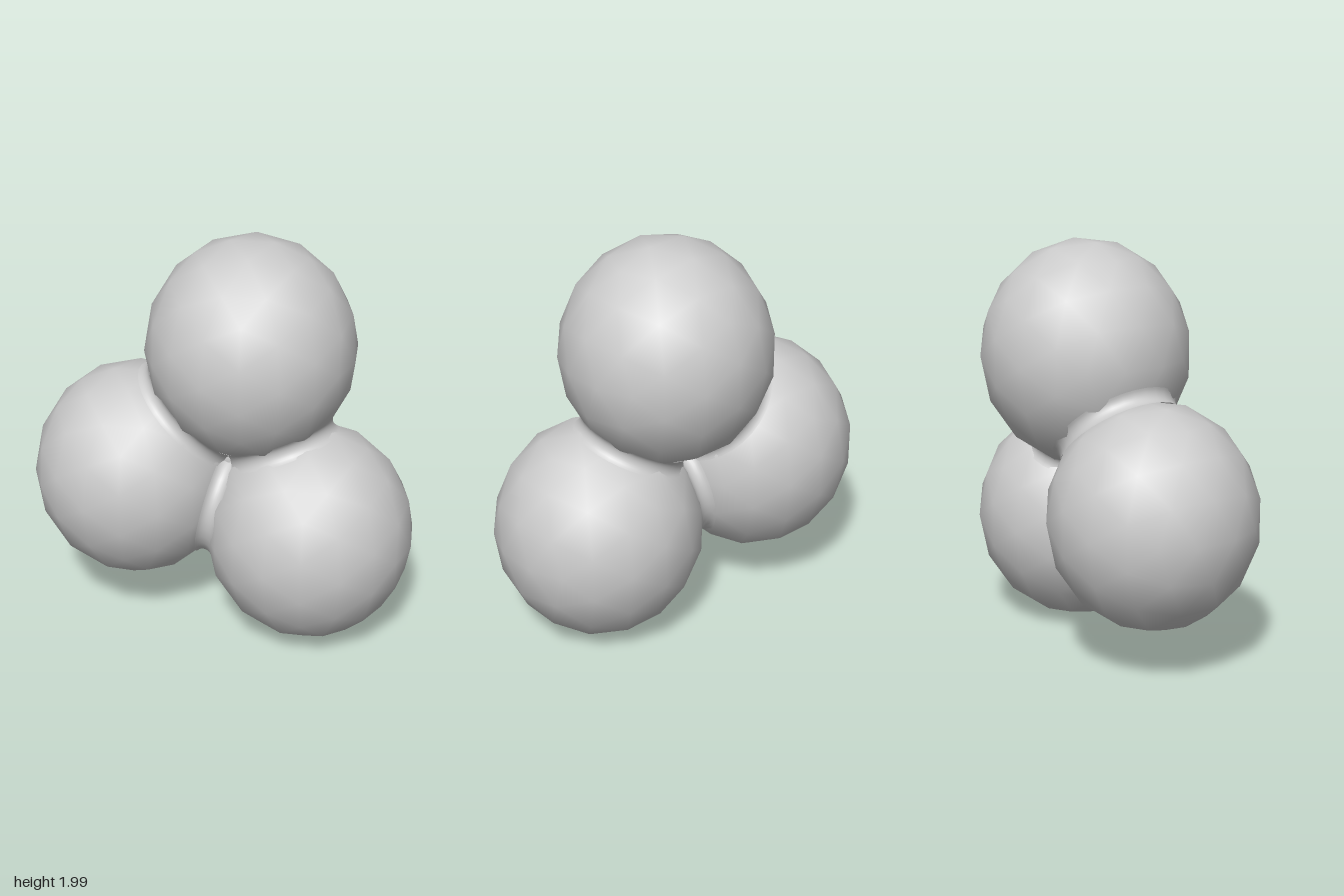
import * as THREE from 'three';

export function createModel() {
  const group = new THREE.Group();
  const material = new THREE.MeshStandardMaterial({ color: 0xcccccc });
  const tall = 1.075; // every lobe is slightly taller than wide

  function addPart(name, geometry, position) {
    const mesh = new THREE.Mesh(geometry.scale(1, tall, 1), material);
    mesh.name = name;
    mesh.position.copy(position);
    group.add(mesh);
  }

  // Three coarse, smooth-shaded egg-like lobes
  const top = new THREE.Vector3(0.125, 1.456, -0.068);
  const right = new THREE.Vector3(-0.445, 0.765, -0.06);
  const left = new THREE.Vector3(0.438, 0.55, 0.08);
  addPart('topLobe', new THREE.IcosahedronGeometry(0.515, 2), top);
  addPart('rightLobe', new THREE.IcosahedronGeometry(0.51, 2), right);
  addPart('leftLobe', new THREE.IcosahedronGeometry(0.515, 2), left);

  // Crease between two lobes: a small fillet arc tangent to both, turned about their axis
  function addNeck(name, a, b) {
    const axis = b.clone().sub(a);
    axis.y /= tall;
    const half = axis.length() / 2;
    const r = 0.505, fillet = 0.05;
    const ring = Math.sqrt((r + fillet) ** 2 - half ** 2);
    const sweep = Math.atan2(half, ring);
    const profile = [];
    for (let i = -5; i <= 5; i++) {
      const angle = (sweep * i) / 5;
      profile.push(new THREE.Vector2(ring - fillet * Math.cos(angle), fillet * Math.sin(angle)));
    }
    const turn = new THREE.Quaternion().setFromUnitVectors(new THREE.Vector3(0, 1, 0), axis.normalize());
    const geometry = new THREE.LatheGeometry(profile, 32).applyQuaternion(turn);
    addPart(name, geometry, a.clone().lerp(b, 0.5));
  }
  addNeck('topRightNeck', top, right);
  addNeck('topLeftNeck', top, left);
  addNeck('lowerNeck', right, left);

  // Small core closing the gap where the three necks meet
  const middle = top.clone().add(right).add(left).divideScalar(3);
  addPart('core', new THREE.SphereGeometry(0.13, 16, 12), middle);

  return group;
}
